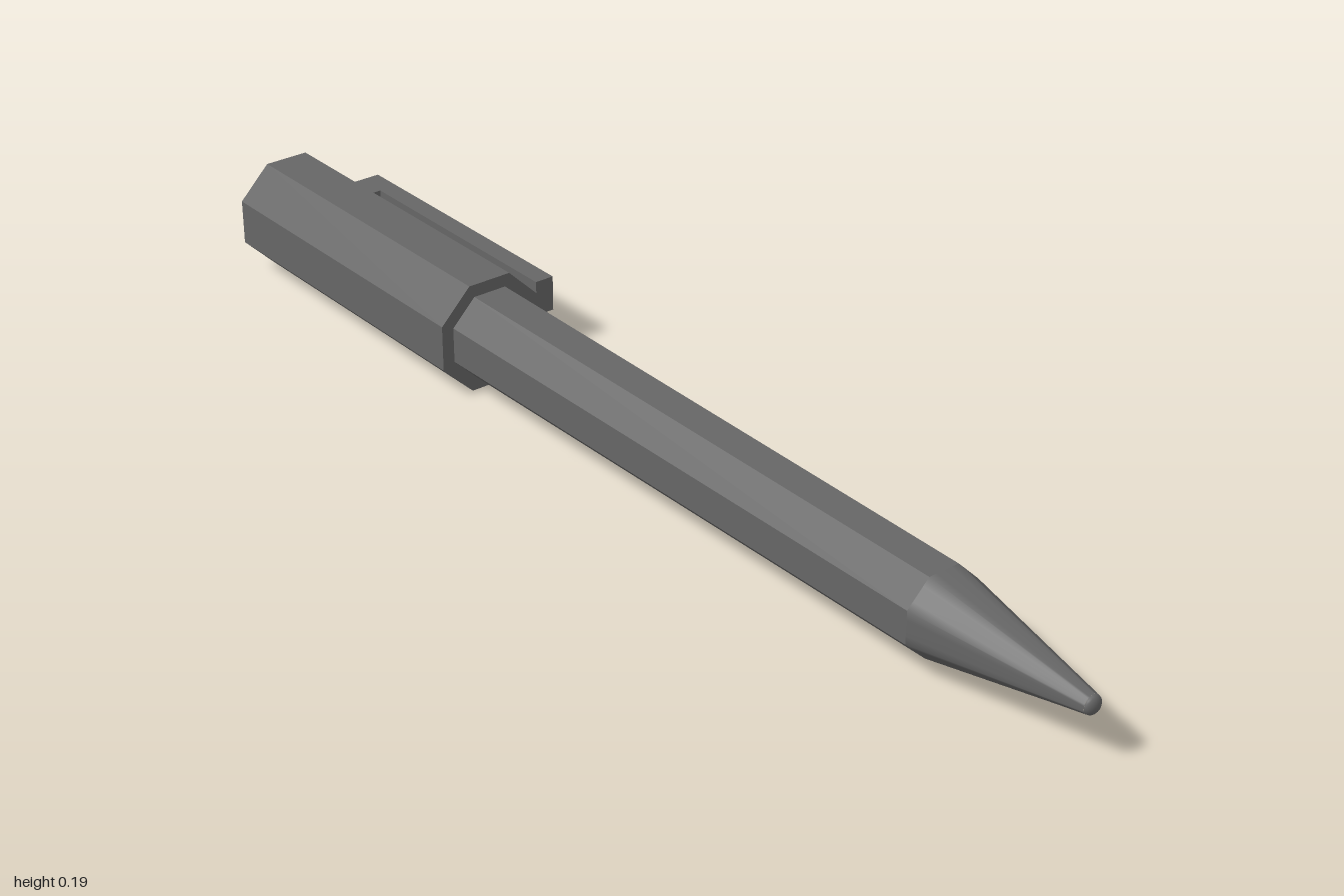
import * as THREE from 'three';

const CX = -0.036, CY = 0.097; // pen axis, running along z
const OCT = Math.PI / 8;

// Octagonal bar between two z positions, given its half-widths across the flats
function octBar(apoFront, apoBack, zFront, zBack) {
  const k = 1 / Math.cos(OCT);
  const g = new THREE.CylinderGeometry(apoFront * k, apoBack * k, zFront - zBack, 8);
  g.rotateY(OCT).rotateX(Math.PI / 2);
  return g.translate(CX, CY, (zFront + zBack) / 2);
}

// Cone whose wide end is an octagon and whose narrow end is round
function tipCone(apo, rTip, zFront, zBack) {
  const g = new THREE.CylinderGeometry(rTip, 1, zFront - zBack, 32, 1, true);
  const p = g.attributes.position;
  for (let i = 0; i < p.count; i++) {
    if (p.getY(i) > 0) continue;
    const a = Math.atan2(p.getX(i), p.getZ(i));
    const off = a - Math.round(a / (2 * OCT)) * 2 * OCT;
    const r = apo / Math.cos(off);
    p.setX(i, r * Math.sin(a));
    p.setZ(i, r * Math.cos(a));
  }
  g.computeVertexNormals();
  return g.rotateX(Math.PI / 2).translate(CX, CY, (zFront + zBack) / 2);
}

export function createModel() {
  const group = new THREE.Group();
  const grey = new THREE.MeshStandardMaterial({ color: 0x666666 });
  grey.name = 'dark grey';
  const flatGrey = grey;

  const add = (name, geometry) => {
    const mesh = new THREE.Mesh(geometry, flatGrey);
    mesh.name = name;
    group.add(mesh);
  };
  // Flat facets for the octagonal bars
  const faceted = (g) => {
    const f = g.toNonIndexed();
    f.computeVertexNormals();
    return f;
  };

  add('cap', faceted(octBar(0.097, 0.097, -0.38, -1)));
  add('barrel', faceted(octBar(0.068, 0.075, 0.7, -0.4)));
  add('tip', tipCone(0.068, 0.016, 0.99, 0.7));

  // Rounded writing point
  const point = new THREE.SphereGeometry(0.016, 16, 6, 0, Math.PI * 2, 0, Math.PI / 2);
  point.scale(1, 0.625, 1).rotateX(Math.PI / 2).translate(CX, CY, 0.99);
  add('point', point);

  // Pocket clip: an L outline extruded upward
  const outline = new THREE.Shape([
    [0.055, 0.96], [0.13, 0.96], [0.13, 0.43], [0.095, 0.43], [0.095, 0.9], [0.055, 0.9],
  ].map(([x, y]) => new THREE.Vector2(x, y)));
  const clip = new THREE.ExtrudeGeometry(outline, { depth: 0.063, bevelEnabled: false });
  clip.rotateX(-Math.PI / 2).translate(0, 0.066, 0);
  add('clip', clip);

  return group;
}
